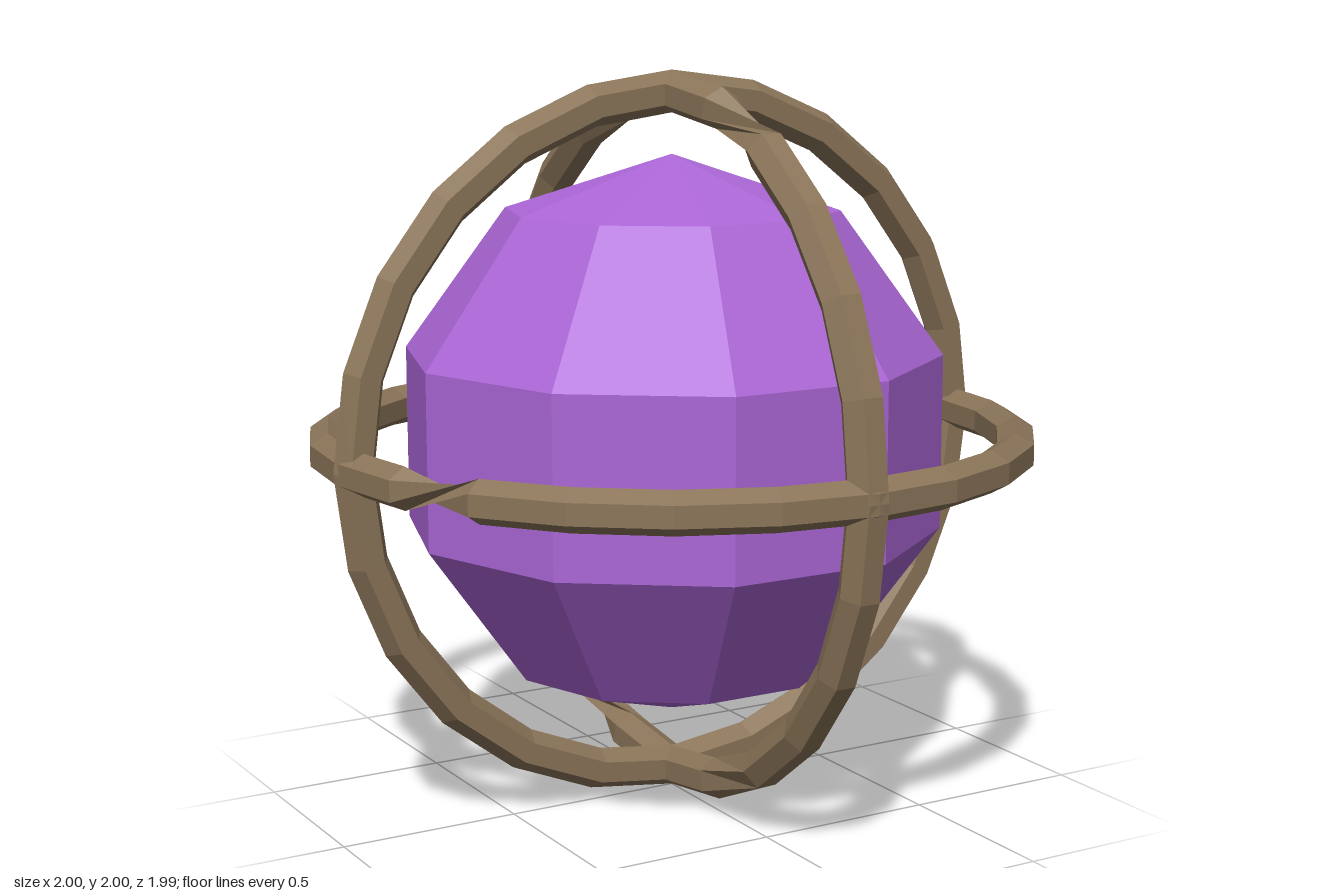
import * as THREE from 'three';

const SEGMENTS = 24;
const SIDES = 6;
const RING_RADIUS = 0.945;
const BAR_RADIUS = 0.057;

// Hexagonal bar bent into a circle; twists maps a segment index to the
// roll (in degrees) added across that segment.
function twistedRing(startRoll, twists) {
  const positions = [];
  const indices = [];
  let roll = startRoll;
  for (let i = 0; i <= SEGMENTS; i++) {
    const theta = (i / SEGMENTS) * Math.PI * 2;
    for (let j = 0; j < SIDES; j++) {
      const a = (j / SIDES) * Math.PI * 2 + THREE.MathUtils.degToRad(roll);
      const d = RING_RADIUS + BAR_RADIUS * Math.cos(a);
      positions.push(d * Math.cos(theta), d * Math.sin(theta), BAR_RADIUS * Math.sin(a));
    }
    roll += twists[i] || 0;
  }
  for (let i = 0; i < SEGMENTS; i++) {
    for (let j = 0; j < SIDES; j++) {
      const k = (j + 1) % SIDES;
      const a = i * SIDES + j, b = a + SIDES;
      const c = (i + 1) * SIDES + k, d = i * SIDES + k;
      indices.push(a, b, c, a, c, d);
    }
  }
  const geometry = new THREE.BufferGeometry();
  geometry.setAttribute('position', new THREE.Float32BufferAttribute(positions, 3));
  geometry.setIndex(indices);
  geometry.computeVertexNormals();
  return geometry;
}

export function createModel() {
  const group = new THREE.Group();
  group.name = 'cagedOrb';

  const purple = new THREE.MeshStandardMaterial({ color: 0xab66d6, flatShading: true });
  purple.name = 'purple';
  const bronze = new THREE.MeshStandardMaterial({ color: 0x8b7559, flatShading: true });
  bronze.name = 'bronze';

  const add = (name, geometry, material) => {
    const mesh = new THREE.Mesh(geometry, material);
    mesh.name = name;
    mesh.position.y = 1;
    group.add(mesh);
    return mesh;
  };

  // Faceted core
  add('orb', new THREE.SphereGeometry(0.777, 10, 5), purple);

  // Three crossing rings
  add('frontRing', twistedRing(0, {}), bronze);

  const sideRing = add('sideRing', twistedRing(30, { 4: 90, 7: -90, 16: 90, 19: -90 }), bronze);
  sideRing.rotation.y = -Math.PI / 2;

  const levelRing = add('levelRing', twistedRing(30, { 10: 120, 22: -120 }), bronze);
  levelRing.rotation.x = Math.PI / 2;

  return group;
}
